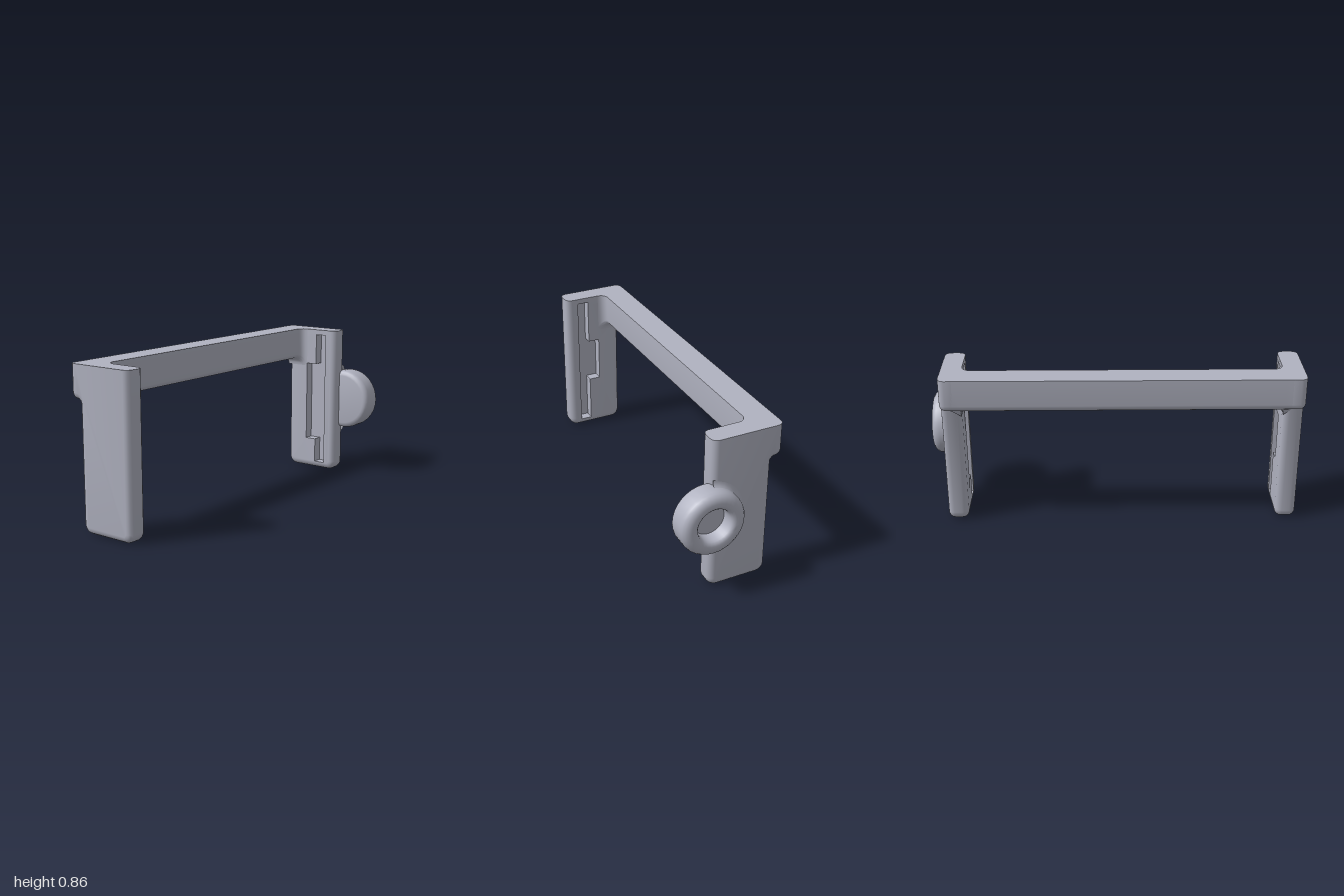
import * as THREE from 'three';
import { toCreasedNormals } from 'three/addons/utils/BufferGeometryUtils.js';

const TOP = 0.86;
const V2 = (x, y) => new THREE.Vector2(x, y);

// Points along an arc, angles in quarter turns
function arc(cx, cy, r, q0, q1, n = 5) {
  return Array.from({ length: n + 1 }, (_, i) => {
    const a = (q0 + (q1 - q0) * i / n) * Math.PI / 2;
    return V2(cx + r * Math.cos(a), cy + r * Math.sin(a));
  });
}

// Skin between [points, z] rings of equal length
function loft(out, rings) {
  for (let k = 0; k + 1 < rings.length; k++) {
    const [p, z0] = rings[k], [q, z1] = rings[k + 1];
    p.forEach((a, j) => {
      const m = (j + 1) % p.length, b = p[m], c = q[m], d = q[j];
      out.push(a.x, a.y, z0, b.x, b.y, z0, c.x, c.y, z1);
      out.push(a.x, a.y, z0, c.x, c.y, z1, d.x, d.y, z1);
    });
  }
}

// Flat face at z, facing +z or -z
function cap(out, contour, holes, z, dir) {
  const pts = [...contour, ...holes.flat()];
  for (const f of THREE.ShapeUtils.triangulateShape(contour.slice(), holes.map(h => h.slice()))) {
    let [a, b, c] = f.map(i => pts[i]);
    const area = (b.x - a.x) * (c.y - a.y) - (b.y - a.y) * (c.x - a.x);
    if (area * dir < 0) [b, c] = [c, b];
    for (const v of [a, b, c]) out.push(v.x, v.y, z);
  }
}

function solid(positions) {
  const g = new THREE.BufferGeometry();
  g.setAttribute('position', new THREE.Float32BufferAttribute(positions, 3));
  return toCreasedNormals(g, 0.6);
}

// Leg silhouette, shrunk by i everywhere but the flat top
function outline(i) {
  return [
    V2(-0.295 + i, TOP),
    ...arc(-0.257, 0.718, 0.038 - i, 2, 3),
    ...arc(-0.257, 0.660, 0.020 + i, 1, 0),
    ...arc(-0.187, 0.050, 0.050 - i, 2, 3),
    ...arc(0.045, 0.050, 0.050 - i, 3, 4),
    V2(0.095 - i, TOP),
  ];
}

// Leg with rounded edges and a stepped slot in its inner face (local z = 0)
function legGeometry(wideLow, wideHigh, dir, z) {
  const out = [], thick = 0.11, r = 0.035, depth = 0.056, n = 4;
  const rings = [];
  for (let k = 0; k <= n; k++) {
    const a = k / n * Math.PI / 2;
    rings.push([outline(r * (1 - Math.sin(a))), r * (1 - Math.cos(a))]);
  }
  rings.push(...rings.slice().reverse().map(([p, d]) => [p, thick - d]));
  const slot = [
    V2(-0.04, 0.83), V2(-0.04, wideHigh), V2(-0.105, wideHigh), V2(-0.105, wideLow),
    V2(-0.04, wideLow), V2(-0.04, 0.038), V2(0.025, 0.038), V2(0.025, 0.83),
  ];
  loft(out, rings);
  loft(out, [[slot, depth], [slot, 0]]);
  cap(out, outline(r), [], thick, 1);
  cap(out, outline(r), [slot], 0, -1);
  cap(out, slot, [], depth, -1);
  for (let i = 0; i < out.length; i += 3) out[i + 2] = z + dir * out[i + 2];
  if (dir < 0) {
    for (let i = 0; i < out.length; i += 9) {
      for (let k = 3; k < 6; k++) [out[i + k], out[i + k + 3]] = [out[i + k + 3], out[i + k]];
    }
  }
  return solid(out);
}

// Cross-section of the bar, grown by e on the inner side and underside
function barSection(e) {
  return [
    V2(-0.295, TOP),
    ...arc(-0.257, 0.718, 0.038, 2, 3),
    V2(-0.238, 0.68 - e),
    ...arc(-0.175 + e, 0.705 - e, 0.025, 3, 4),
    V2(-0.15 + e, TOP),
  ];
}

// Bar whose ends flare into the legs
function barGeometry(z0, z1) {
  const r = 0.045, n = 5, start = [], end = [];
  for (let k = 0; k <= n; k++) {
    const a = k / n * Math.PI / 2;
    const e = r * (1 - Math.sin(a)), d = r * (1 - Math.cos(a));
    start.push([barSection(e), z0 + d]);
    end.unshift([barSection(e), z1 - d]);
  }
  const out = [];
  loft(out, [[barSection(0), z0 - 0.06], ...start, ...end, [barSection(0), z1 + 0.06]]);
  return solid(out);
}

// Turned part whose axis points to the back
function turned(profile, start = 0, span = Math.PI * 2, sides = 32) {
  const g = new THREE.LatheGeometry(profile, sides, start, span);
  g.rotateX(-Math.PI / 2);
  g.translate(0.115, 0.44, 0);
  return toCreasedNormals(g, 0.6);
}

export function createModel() {
  const group = new THREE.Group();
  const grey = new THREE.MeshStandardMaterial({ color: 0xb0b2c0, side: THREE.DoubleSide });
  grey.name = 'plain grey';
  const add = (name, geometry) => {
    const m = new THREE.Mesh(geometry, grey);
    m.name = name;
    group.add(m);
  };

  add('frontLeg', legGeometry(0.31, 0.57, 1, 0.89));
  add('backLeg', legGeometry(0.18, 0.65, -1, -0.80));
  add('topBar', barGeometry(-0.80, 0.89));

  // Round knob with a blind hole in its back
  add('knob', turned([
    V2(0, 0.856),
    ...arc(0.145, 0.886, 0.03, -1, 0, 4),
    ...arc(0.130, 0.955, 0.045, 0, 1, 4),
    ...arc(0.115, 0.975, 0.025, 1, 2, 3),
    V2(0.085, 0.925), V2(0, 0.925),
  ]));

  // Flared foot of the knob on the back leg
  const span = Math.PI * 0.92;
  add('knobFillet', turned(
    [V2(0.205, 0.905), ...arc(0.205, 0.943, 0.034, 3, 2, 4)],
    Math.PI * 1.5 - span / 2, span, 16));

  return group;
}
